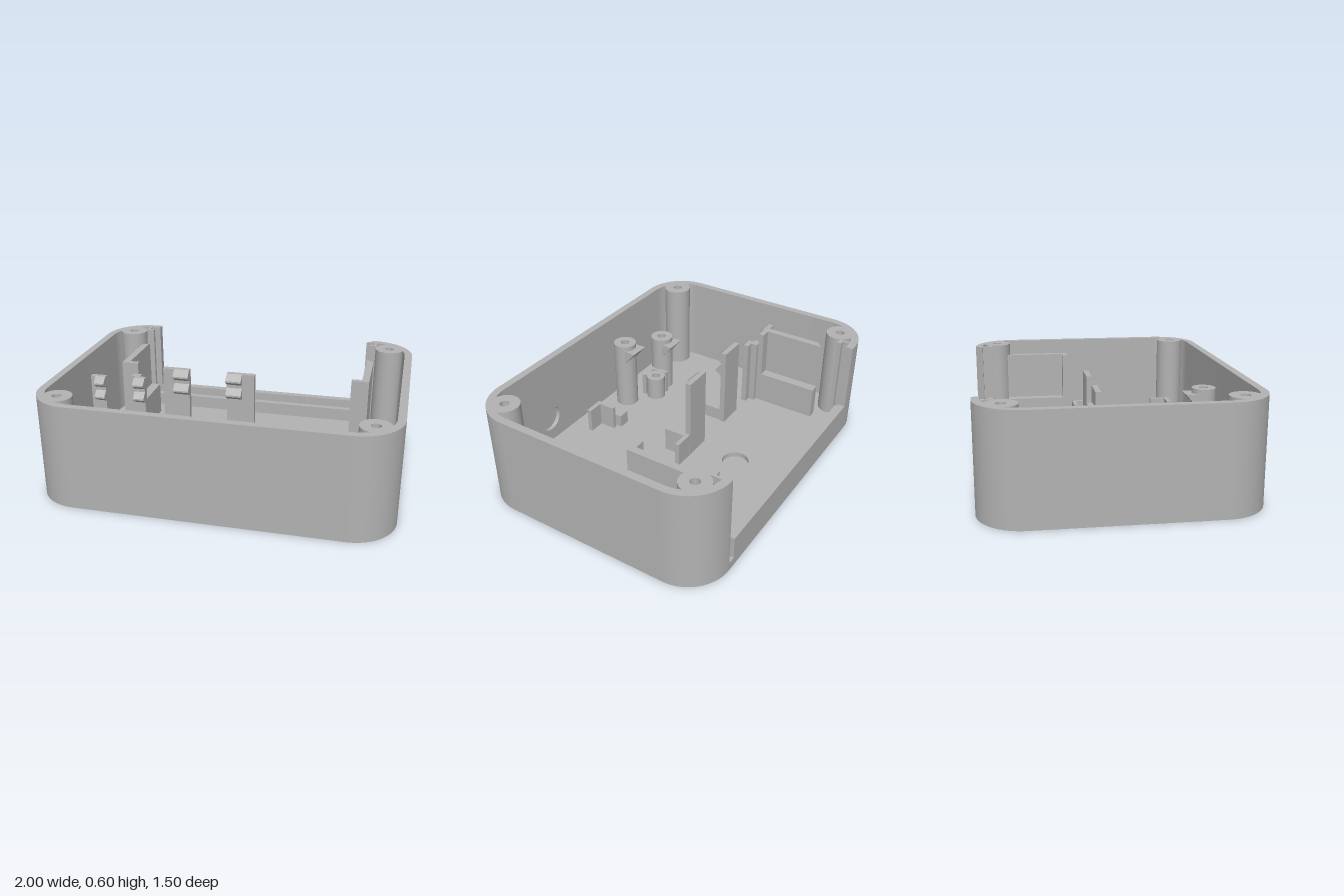
import * as THREE from 'three';
import { toCreasedNormals } from 'three/addons/utils/BufferGeometryUtils.js';

const P = Math.PI;
const FLOOR = 0.05, TOP = 0.6, SILL = 0.183;

export function createModel() {
  const model = new THREE.Group();
  const plastic = new THREE.MeshStandardMaterial({ color: 0xb2b2b2 });
  plastic.name = 'grey plastic';

  const add = (name, geo) => {
    const mesh = new THREE.Mesh(geo, plastic);
    mesh.name = name;
    model.add(mesh);
    return mesh;
  };
  // Upright prism: shapes are drawn in plan as (x, -z)
  const prism = (name, shape, y0, y1) => {
    const geo = new THREE.ExtrudeGeometry(shape, { depth: y1 - y0, bevelEnabled: false, curveSegments: 24 });
    geo.rotateX(-P / 2);
    geo.translate(0, y0, 0);
    return add(name, toCreasedNormals(geo, 0.5));
  };
  const box = (name, x0, x1, y0, y1, z0, z1) => {
    const geo = new THREE.BoxGeometry(Math.abs(x1 - x0), y1 - y0, z1 - z0);
    geo.translate((x0 + x1) / 2, (y0 + y1) / 2, (z0 + z1) / 2);
    return add(name, geo);
  };
  // Bar along x with a profile of [z, y] points
  const profileBar = (name, x0, x1, points) => {
    const shape = new THREE.Shape(points.map(([z, y]) => new THREE.Vector2(-z, y)));
    const geo = new THREE.ExtrudeGeometry(shape, { depth: x1 - x0, bevelEnabled: false });
    geo.rotateY(P / 2);
    geo.translate(x0, 0, 0);
    return add(name, geo);
  };
  // Screw boss with a bore
  const boss = (name, x, z, r, y1) => {
    const shape = new THREE.Shape().absarc(x, -z, r, 0, 2 * P);
    shape.holes.push(new THREE.Path().absarc(x, -z, 0.027, 0, 2 * P));
    return prism(name, shape, FLOOR, y1);
  };

  // Outer outline, clockwise from the back opening
  const outline = () => {
    const s = new THREE.Shape();
    s.moveTo(0.705, 0.75);
    s.absarc(0.75, 0.5, 0.25, P / 2, 0, true);
    s.absarc(0.75, -0.5, 0.25, 0, -P / 2, true);
    s.absarc(-0.75, -0.5, 0.25, -P / 2, -P, true);
    s.absarc(-0.75, 0.5, 0.25, P, P / 2, true);
    s.lineTo(-0.705, 0.75);
    return s;
  };

  // Floor with a blind round recess
  prism('base', outline(), 0, 0.02);
  const floor = outline();
  floor.holes.push(new THREE.Path().absarc(0, 0.36, 0.08, 0, 2 * P));
  prism('floor', floor, 0.02, FLOOR);

  // Wall, open at the back, with a pocket in the front for the recess plate
  const wall = outline();
  wall.lineTo(-0.705, 0.705);
  wall.absarc(-0.75, 0.5, 0.205, P / 2, P, false);
  wall.absarc(-0.75, -0.5, 0.205, P, 1.5 * P, false);
  [[0.3, -0.705], [0.3, -0.73], [0.54, -0.73], [0.54, -0.705]].forEach(([x, v]) => wall.lineTo(x, v));
  wall.absarc(0.75, -0.5, 0.205, -P / 2, 0, false);
  wall.absarc(0.75, 0.5, 0.205, 0, P / 2, false);
  wall.lineTo(0.705, 0.705);
  prism('wall', wall, FLOOR, TOP);

  // Plate with a teardrop recess inside the front wall
  const plate = new THREE.Shape();
  plate.moveTo(0.3, FLOOR).lineTo(0.54, FLOOR).lineTo(0.54, TOP).lineTo(0.3, TOP);
  const drop = new THREE.Path();
  drop.moveTo(0.42, 0.318);
  drop.absarc(0.42, 0.205, 0.08, 0.75 * P, 2.25 * P, false);
  plate.holes.push(drop);
  const plateGeo = new THREE.ExtrudeGeometry(plate, { depth: 0.025, bevelEnabled: false, curveSegments: 24 });
  plateGeo.translate(0, 0, 0.705);
  add('teardropRecess', toCreasedNormals(plateGeo, 0.5));

  // Back sill and the step of the panel slot
  box('backSill', -0.705, 0.705, FLOOR, SILL, -0.75, -0.705);
  box('slotStep', -0.76, 0.76, FLOOR, 0.13, -0.705, -0.665);

  for (const s of [-1, 1]) {
    // Corner screw posts
    for (const z of [-0.605, 0.605]) boss('cornerPost', s * 0.855, z, 0.085, TOP);
    // Panel slot guides beside the opening
    box('slotSide', s * 0.76, s * 0.775, FLOOR, TOP, -0.705, -0.64);
    box('slotRail', s * 0.73, s * 0.76, FLOOR, TOP, -0.665, -0.64);

    // Side holders: tall plate with a chamfered back corner, end wall and ledge
    const side = new THREE.Shape();
    side.moveTo(s * 0.725, 0.54).lineTo(s * 0.768, 0.5).lineTo(s * 0.768, 0.14);
    side.lineTo(s * 0.665, 0.14).lineTo(s * 0.665, 0.172).lineTo(s * 0.725, 0.172);
    prism('sideHolder', side, FLOOR, 0.54);
    box('sideLedge', s * 0.665, s * 0.725, FLOOR, 0.25, -0.54, -0.172);
  }

  // Low corner locators for a board: [outer corner x, z, x direction, z direction, z length]
  for (const [x, z, dx, dz, len] of [
    [0.1, -0.1, 1, 1, 0.16], [0.1, 0.58, 1, -1, 0.125],
    [0.77, -0.1, -1, 1, 0.125], [0.77, 0.58, -1, -1, 0.125],
    [-0.43, 0.535, 1, -1, 0.125],
  ]) {
    const corner = new THREE.Shape();
    [[0, 0], [0.12, 0], [0.12, 0.027], [0.025, 0.027], [0.025, len], [0, len]].forEach(([a, b], i) =>
      corner[i ? 'lineTo' : 'moveTo'](x + dx * a, -(z + dz * b)));
    prism('cornerLocator', corner, FLOOR, 0.2);
  }

  // Upright clips with two wedge hooks: [stem x0, x1, hook x0, x1, height]
  for (const [x0, x1, h0, h1, top] of [
    [-0.955, -0.86, -0.925, -0.86, 0.46], [-0.67, -0.6, -0.67, -0.6, 0.47],
    [-0.475, -0.31, -0.405, -0.31, 0.55], [-0.075, 0.095, -0.075, 0.02, 0.55],
  ]) {
    box('clipStem', x0, x1, FLOOR, top, -0.1, -0.067);
    for (const y of [top, top - 0.09]) {
      profileBar('clipHook', h0, h1, [[-0.067, y], [-0.03, y - 0.035], [-0.03, y - 0.045], [-0.067, y - 0.07]]);
    }
  }
  box('clipBridge', -0.695, -0.64, FLOOR, 0.47, -0.14, -0.1);

  // Low board rests
  for (const [x, z] of [[-0.39, -0.067], [0.015, -0.067], [0.015, 0.425]]) {
    box('boardRest', x, x + 0.072, FLOOR, 0.13, z, z < 0 ? 0.045 : 0.5);
  }

  // Inner screw bosses, two with a wedge lip
  for (const [x, z, top] of [[-0.49, 0.495, 0.42], [-0.19, 0.575, 0.49]]) {
    boss('innerBoss', x, z, 0.07, top);
    profileBar('bossLip', x - 0.06, x + 0.06,
      [[z - 0.115, top - 0.03], [z - 0.04, top - 0.03], [z - 0.04, top - 0.12]]);
  }
  boss('smallBoss', -0.345, 0.45, 0.06, 0.2);

  return model;
}
